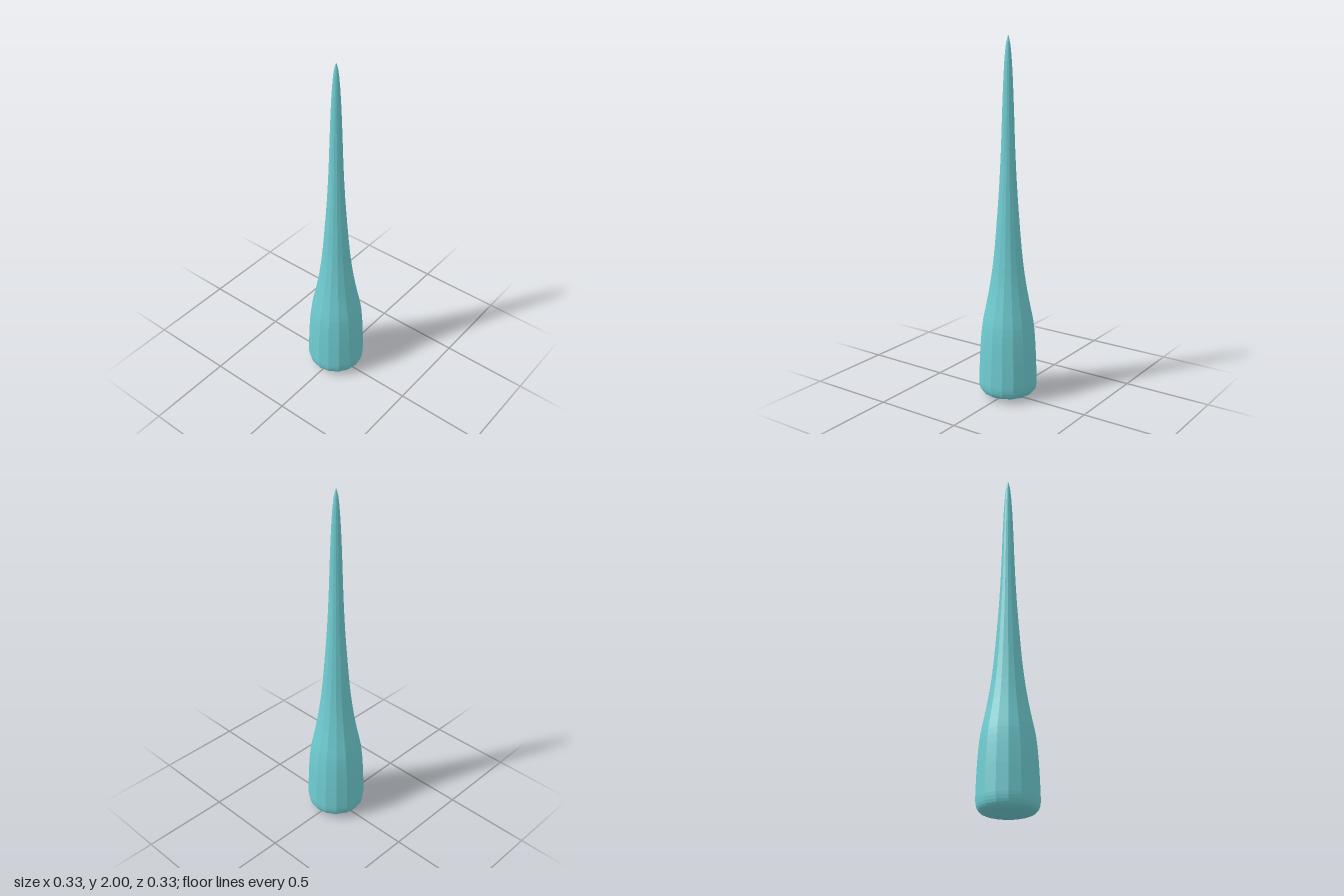
import * as THREE from 'three';

export function createModel() {
  const group = new THREE.Group();
  group.name = 'taperedSpike';

  // Half-profile as [radius, height], from the shallow domed base to the tip
  const profile = [
    [0, 0], [0.06, 0.003], [0.11, 0.012], [0.14, 0.023], [0.157, 0.042], [0.164, 0.075],
    [0.164, 0.12], [0.16, 0.24], [0.153, 0.35], [0.144, 0.43], [0.13, 0.5],
    [0.11, 0.6], [0.091, 0.72], [0.075, 0.86], [0.062, 1.02], [0.049, 1.2],
    [0.039, 1.4], [0.033, 1.58], [0.027, 1.74], [0.02, 1.87], [0.011, 1.96], [0, 2],
  ].map(([r, y]) => new THREE.Vector2(r, y));

  // Smooth the profile, keeping it on the axis at both ends
  const points = new THREE.SplineCurve(profile).getPoints(42);
  points.forEach((p) => { p.x = Math.max(p.x, 0); });

  // Sixteen flat sides turned around the vertical axis
  const body = new THREE.Mesh(
    new THREE.LatheGeometry(points, 16),
    new THREE.MeshStandardMaterial({ color: 0x6fcdd2, flatShading: true }),
  );
  body.name = 'spikeBody';
  group.add(body);
  return group;
}
